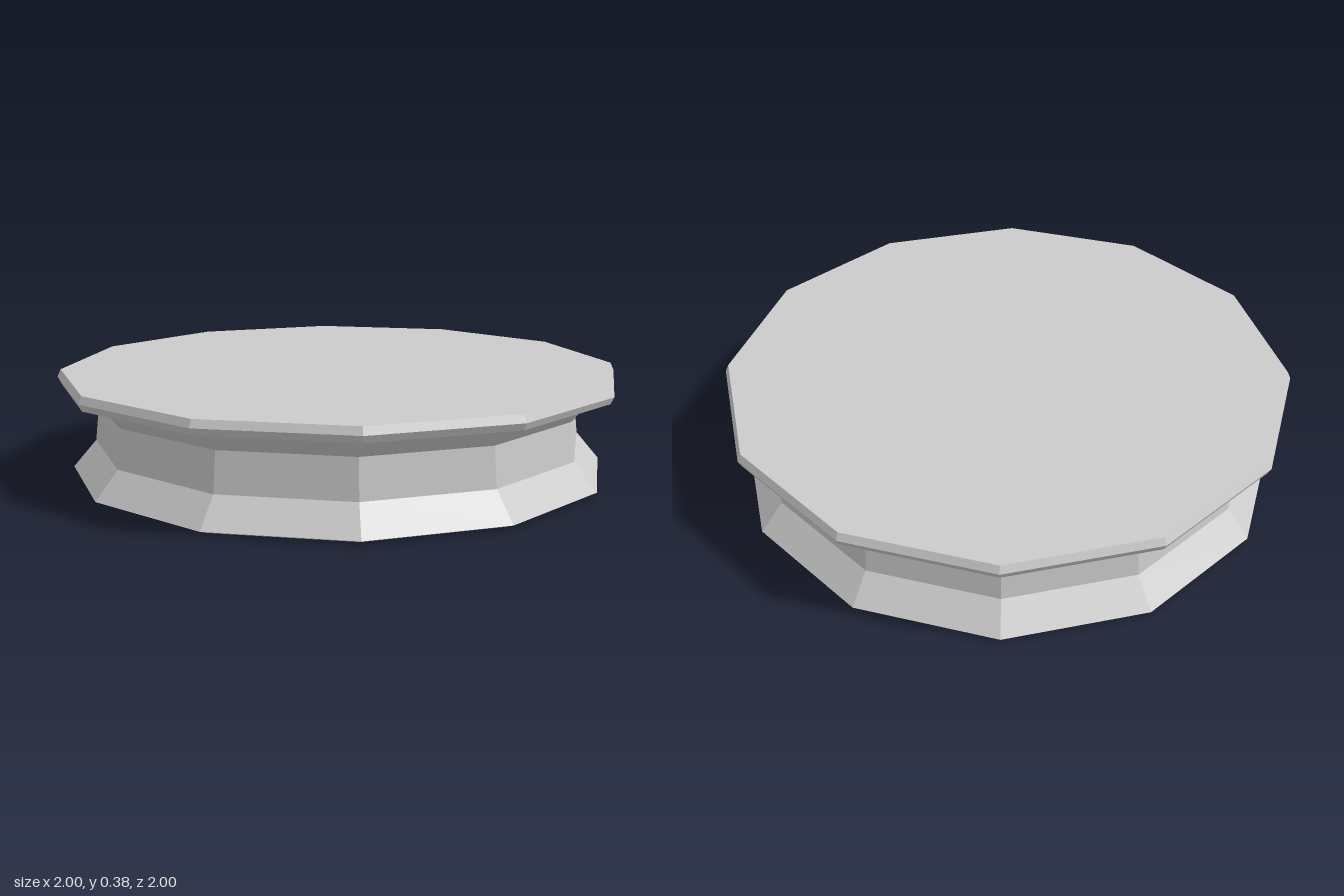
import * as THREE from 'three';

const SIDES = 12;
const CORNER = 1 / Math.cos(Math.PI / SIDES); // flat-to-centre distance -> corner radius

export function createModel() {
  const group = new THREE.Group();
  const material = new THREE.MeshStandardMaterial({
    color: 0xcccccc, flatShading: true, side: THREE.DoubleSide,
  });

  const add = (name, geometry) => {
    const mesh = new THREE.Mesh(geometry, material);
    mesh.name = name;
    group.add(mesh);
    return mesh;
  };

  // Twelve-sided shell from [flat-to-centre distance, height] pairs
  const ring = (name, profile) => add(name, new THREE.LatheGeometry(
    profile.map(([r, y]) => new THREE.Vector2(r * CORNER, y)),
    SIDES, Math.PI / SIDES));

  // Hollow base: turned-in foot rim, flared foot, waist and flared collar
  ring('footRim', [[0.915, 0], [0.955, 0.015]]);
  ring('waist', [[0.955, 0.015], [0.873, 0.115], [0.858, 0.255], [0.92, 0.33]]);

  // Overhanging plate edge, bevelled above and below
  ring('plateEdge', [[0.92, 0.33], [0.988, 0.33], [1, 0.355], [0.988, 0.382]]);

  // Flat top
  const top = new THREE.CircleGeometry(0.988 * CORNER, SIDES, Math.PI / SIDES);
  top.rotateX(-Math.PI / 2);
  add('plateTop', top).position.y = 0.382;

  return group;
}
